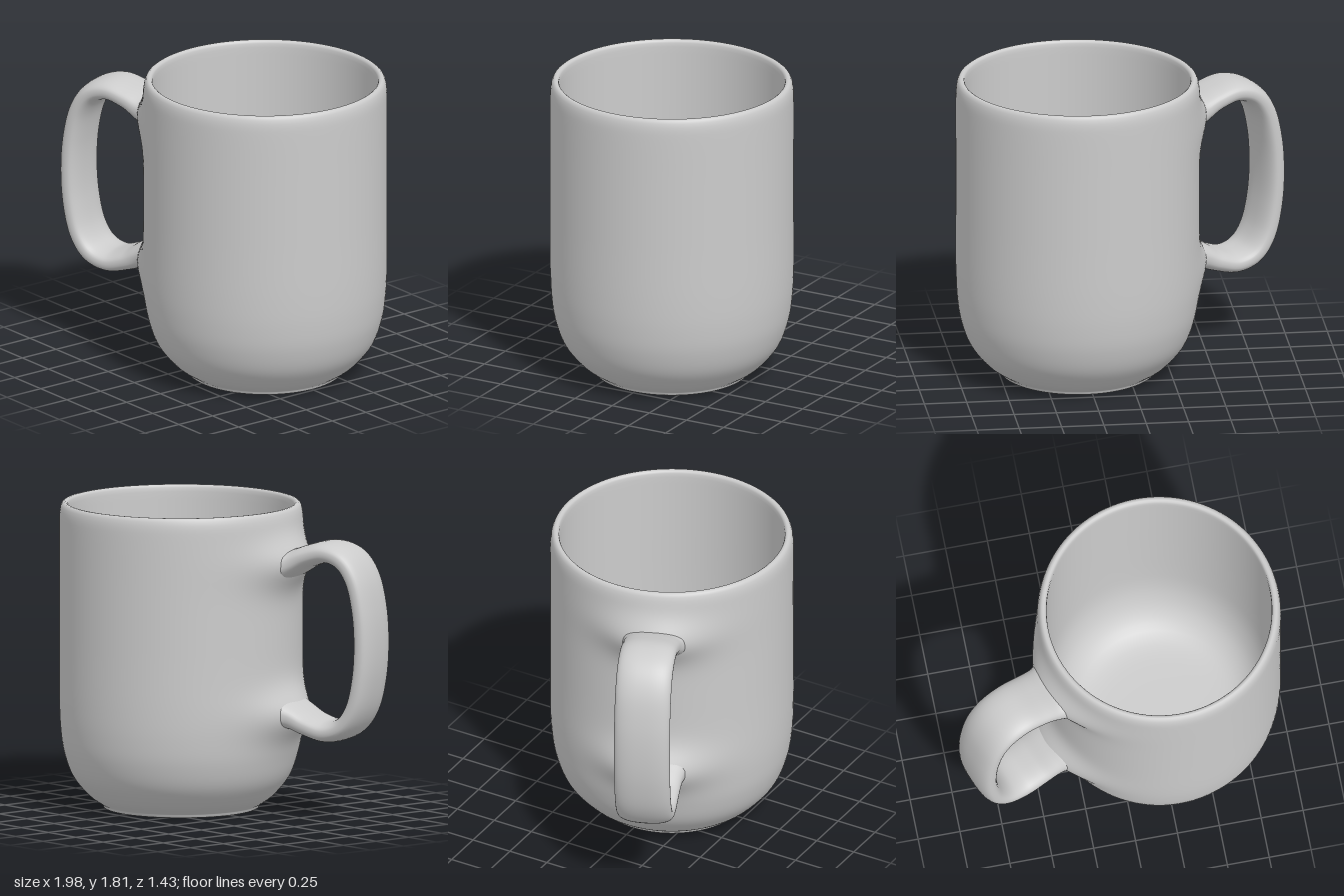
import * as THREE from 'three';
import { mergeVertices } from 'three/addons/utils/BufferGeometryUtils.js';

const HEIGHT = 1.81, JOINTS = [1.505, 0.605], HANDLE_MID = 1.055;

const spline = (pts, n) =>
  new THREE.SplineCurve(pts.map(([x, y]) => new THREE.Vector2(x, y))).getSpacedPoints(n);
const points = (pts) => pts.map(([x, y]) => new THREE.Vector2(x, y));

// weld seams so the smooth normals run all the way round
function smooth(geo) {
  geo.deleteAttribute('uv');
  geo.deleteAttribute('normal');
  const g = mergeVertices(geo, 1e-5);
  g.computeVertexNormals();
  return g;
}

// Cup: one closed profile, swelling outward where the handle joins
function cupGeometry() {
  const foot = points([
    [0, 0.02], [0.2, 0.02], [0.4, 0.02], [0.425, 0.016], [0.432, 0.004],
    [0.438, 0], [0.448, 0], [0.455, 0.004], [0.457, 0.016], [0.462, 0.021],
  ]);
  const outer = spline([
    [0.468, 0.024], [0.545, 0.08], [0.635, 0.19], [0.685, 0.325], [0.707, 0.47],
    [0.715, 0.66], [0.715, 1.0], [0.715, 1.4], [0.715, 1.7], [0.711, 1.765],
  ], 80);
  const rim = points([
    [0.706, 1.788], [0.698, 1.803], [0.688, HEIGHT], [0.676, HEIGHT], [0.667, 1.804], [0.662, 1.793],
  ]);
  const inner = spline([
    [0.66, 1.77], [0.66, 1.4], [0.66, 1.0], [0.658, 0.66], [0.65, 0.47],
    [0.625, 0.33], [0.575, 0.21], [0.49, 0.125], [0.38, 0.09], [0.2, 0.08], [0, 0.08],
  ], 50);
  inner[inner.length - 1].x = 0;

  const geo = new THREE.LatheGeometry([...foot, ...outer, ...rim, ...inner], 128);
  const pos = geo.attributes.position;
  for (let i = 0; i < pos.count; i++) {
    const x = pos.getX(i), y = pos.getY(i), z = pos.getZ(i);
    const r = Math.hypot(x, z);
    if (x <= 0 || r < 0.5) continue;
    const outside = THREE.MathUtils.smoothstep(r, 0.665, 0.695);
    let swell = 0;
    for (const j of JOINTS) swell += Math.exp(-(((y - j) / 0.14) ** 2));
    const k = 1 + (0.1 * outside * swell * Math.exp(-((z / 0.28) ** 2))) / r;
    pos.setX(i, x * k);
    pos.setZ(i, z * k);
  }
  return smooth(geo);
}

// Handle: a flat rounded section swept along a loop, flaring at both joints
function handleGeometry() {
  const half = [[0.69, 1.495], [0.78, 1.512], [0.88, 1.555], [1.01, 1.586], [1.13, 1.545], [1.21, 1.43], [1.253, 1.25]];
  const path = [...half, [1.266, HANDLE_MID], ...half.map(([u, y]) => [u, 2 * HANDLE_MID - y]).reverse()];
  const curve = new THREE.SplineCurve(path.map(([x, y]) => new THREE.Vector2(x, y)));
  const rings = 100, sides = 40, verts = [], index = [];
  const power = (v) => Math.sign(v) * Math.abs(v) ** 0.8;
  for (let i = 0; i <= rings; i++) {
    const p = curve.getPointAt(i / rings), t = curve.getTangentAt(i / rings);
    const flare = Math.exp(-Math.max(0, p.x - 0.74) / 0.05);
    const thick = 0.064 + 0.035 * flare, wide = 0.165 + 0.03 * flare;
    for (let s = 0; s < sides; s++) {
      const a = (s / sides) * Math.PI * 2;
      const n = thick * power(Math.cos(a));
      verts.push(p.x - t.y * n, p.y + t.x * n, wide * power(Math.sin(a)));
      if (i < rings) {
        const q = i * sides + s, q2 = i * sides + ((s + 1) % sides);
        index.push(q, q2, q + sides, q2, q2 + sides, q + sides);
      }
    }
  }
  const geo = new THREE.BufferGeometry();
  geo.setAttribute('position', new THREE.Float32BufferAttribute(verts, 3));
  geo.setIndex(index);
  geo.computeVertexNormals();
  return geo;
}

export function createModel() {
  const material = new THREE.MeshStandardMaterial({ color: 0xcccccc, side: THREE.DoubleSide });
  const mug = new THREE.Group();
  mug.name = 'mug';
  const add = (name, geo) => {
    const mesh = new THREE.Mesh(geo, material);
    mesh.name = name;
    mug.add(mesh);
  };
  add('cup', cupGeometry());
  add('handle', handleGeometry());

  // the handle points to the right and a little forward
  mug.rotation.y = -(Math.PI - 0.383);
  mug.position.x = 0.285;
  const model = new THREE.Group();
  model.name = 'model';
  model.add(mug);
  return model;
}
